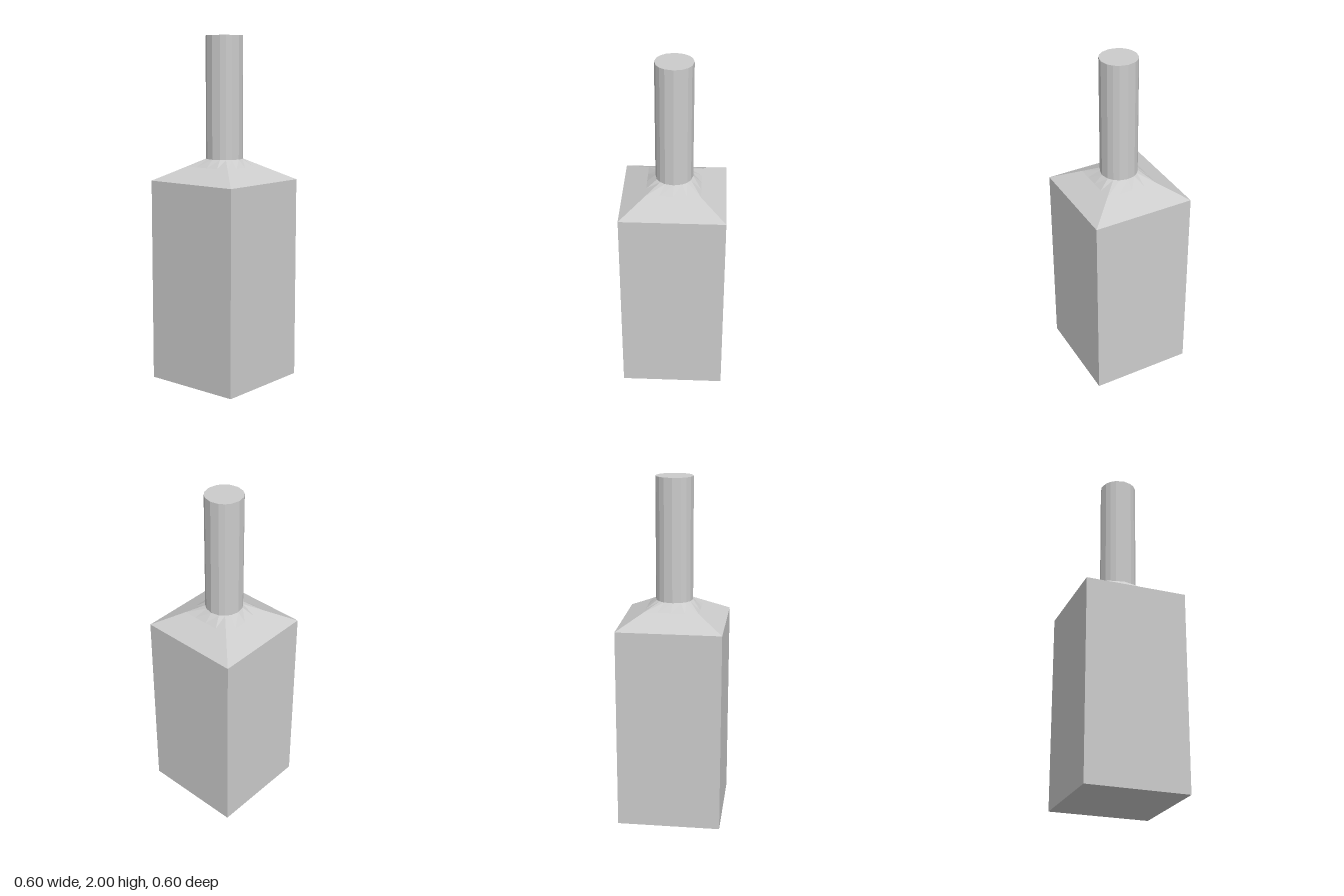
import * as THREE from 'three';

const SEG = 16;
const material = new THREE.MeshStandardMaterial({ color: 0xcccccc, flatShading: true });

// Sixteen points around a square (four per side), optionally pushed out to a circle
function ring(y, size, round) {
  const corners = [[1, 1], [1, -1], [-1, -1], [-1, 1]];
  const points = [];
  for (let i = 0; i < SEG; i++) {
    const a = corners[Math.floor(i / 4)];
    const b = corners[(Math.floor(i / 4) + 1) % 4];
    const t = (i % 4) / 4;
    const p = new THREE.Vector3(a[0] + (b[0] - a[0]) * t, 0, a[1] + (b[1] - a[1]) * t);
    if (round) p.normalize();
    p.multiplyScalar(size);
    p.y = y;
    points.push(p);
  }
  return points;
}

// Skin a stack of rings from bottom to top, with optional flat end caps
function loft(name, rings, capBottom, capTop) {
  const vertices = [];
  const tri = (...corners) => corners.forEach((p) => vertices.push(p.x, p.y, p.z));
  for (let r = 0; r + 1 < rings.length; r++) {
    for (let i = 0; i < SEG; i++) {
      const j = (i + 1) % SEG;
      const [low, high] = [rings[r], rings[r + 1]];
      tri(low[i], low[j], high[j]);
      tri(low[i], high[j], high[i]);
    }
  }
  const cap = (loop, up) => {
    const centre = new THREE.Vector3(0, loop[0].y, 0);
    for (let i = 0; i < SEG; i++) {
      const j = (i + 1) % SEG;
      if (up) tri(centre, loop[i], loop[j]);
      else tri(centre, loop[j], loop[i]);
    }
  };
  if (capBottom) cap(rings[0], false);
  if (capTop) cap(rings[rings.length - 1], true);
  const geometry = new THREE.BufferGeometry();
  geometry.setAttribute('position', new THREE.Float32BufferAttribute(vertices, 3));
  geometry.computeVertexNormals();
  const mesh = new THREE.Mesh(geometry, material);
  mesh.name = name;
  return mesh;
}

export function createModel() {
  const group = new THREE.Group();
  group.name = 'squareBottle';

  const base = ring(0, 0.298, false);
  const shoulderEdge = ring(1.175, 0.298, false);
  const shoulderTop = ring(1.255, 0.155, false);
  const neckBase = ring(1.3, 0.107, true);
  const neckTop = ring(2, 0.107, true);

  // Square body, shoulder blending from square to round, and faceted neck
  group.add(loft('body', [base, shoulderEdge], true, false));
  group.add(loft('shoulder', [shoulderEdge, shoulderTop, neckBase], false, false));
  group.add(loft('neck', [neckBase, neckTop], false, true));
  return group;
}
